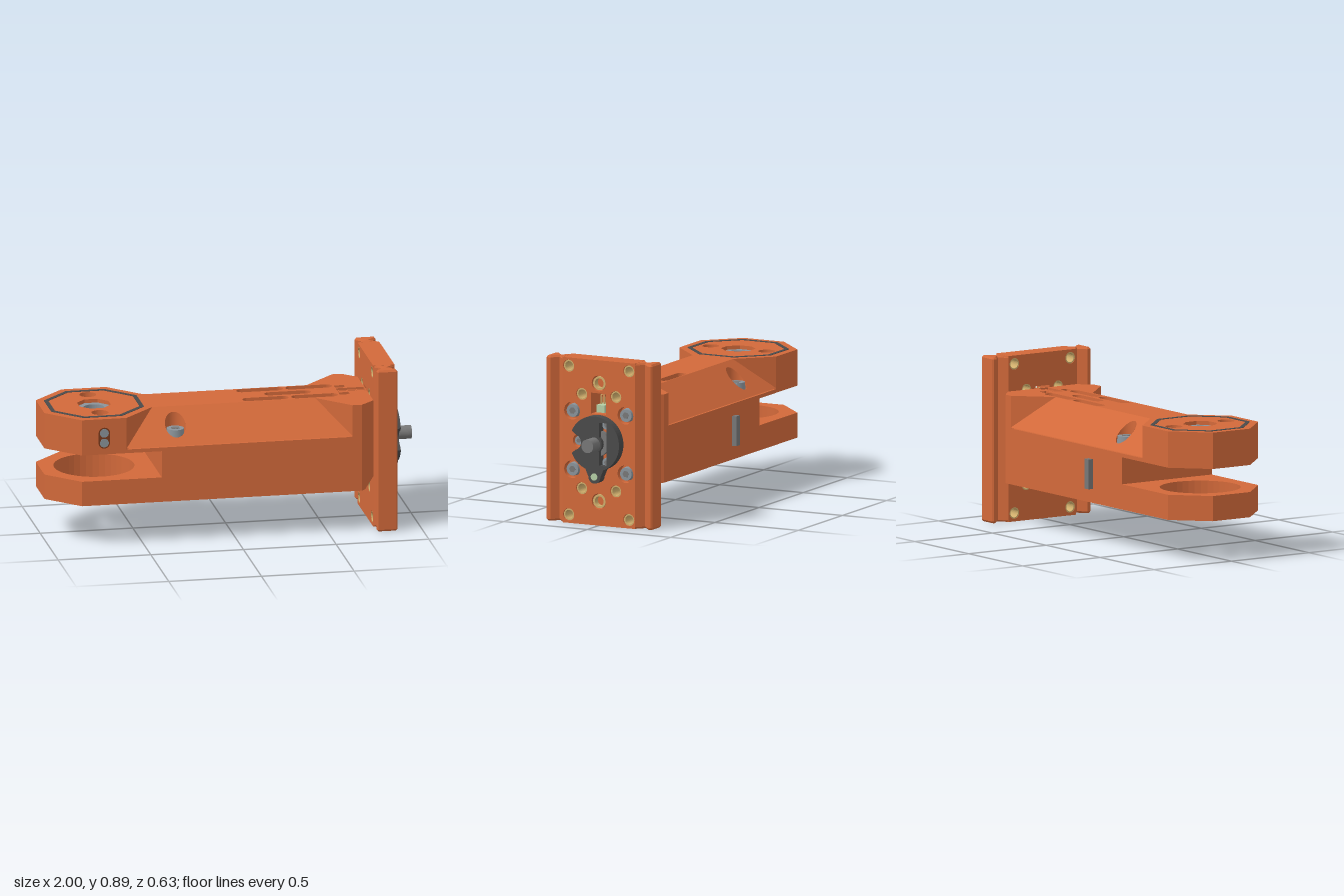
import * as THREE from 'three';

const mat = (color) => new THREE.MeshStandardMaterial({ color, side: THREE.DoubleSide });
const ORANGE = mat(0xd2693a), DARK = mat(0x4a4a4a), STEEL = mat(0x8a939a), BRASS = mat(0xcfae6c),
  GREEN = mat(0xb5cfa5), SHADE = mat(0x7a3a1c), GREY = mat(0x777777);

const poly = (pts) => new THREE.Shape(pts.map(([x, y]) => new THREE.Vector2(x, y)));
const disc = (x, y, r) => new THREE.Shape().absarc(x, y, r, 0, Math.PI * 2, false);
const rect = (x0, x1, y0, y1) => poly([[x0, y0], [x1, y0], [x1, y1], [x0, y1]]);
const octagon = (x, a) => poly([...Array(8)].map((_, i) => {
  const t = (i + 0.5) * Math.PI / 4, r = a / Math.cos(Math.PI / 8);
  return [x + r * Math.cos(t), r * Math.sin(t)];
}));
// Rounded slot along x, or along y when vertical
function pill(cx, cy, len, r, vertical = false) {
  const s = new THREE.Shape(), h = len / 2 - r, q = Math.PI / 2;
  if (vertical) {
    s.absarc(cx, cy + h, r, 0, 2 * q, false);
    s.absarc(cx, cy - h, r, 2 * q, 4 * q, false);
  } else {
    s.absarc(cx + h, cy, r, -q, q, false);
    s.absarc(cx - h, cy, r, q, 3 * q, false);
  }
  return s;
}

export function createModel() {
  const model = new THREE.Group();
  const add = (name, geo, material = ORANGE, parent = model) => {
    const m = new THREE.Mesh(geo, material);
    m.name = name;
    parent.add(m);
    return m;
  };
  const extrude = (shape, holes, depth) => {
    shape.holes = holes;
    return new THREE.ExtrudeGeometry(shape, { depth, bevelEnabled: false, curveSegments: 20 });
  };
  // Plan outline (x, -z) raised from y0 to y1
  const slab = (name, shape, holes, y0, y1, material) =>
    add(name, extrude(shape, holes, y1 - y0).rotateX(-Math.PI / 2).translate(0, y0, 0), material);
  // Outline (-z, y) extended from x0 to x1
  const panel = (name, shape, holes, x0, x1, material) =>
    add(name, extrude(shape, holes, x1 - x0).rotateY(Math.PI / 2).translate(x0, 0, 0), material);
  const box = (name, x0, x1, y0, y1, z0, z1, material) =>
    add(name, new THREE.BoxGeometry(x1 - x0, y1 - y0, z1 - z0)
      .translate((x0 + x1) / 2, (y0 + y1) / 2, (z0 + z1) / 2), material);
  // Socket screw head with its top at the group origin
  const screw = (name, r, h, x, y, z, alongX) => {
    const g = new THREE.Group();
    g.name = name;
    add('screwHead', new THREE.CylinderGeometry(r * 0.93, r, h, 24).translate(0, -h / 2, 0), STEEL, g);
    add('hexSocket', new THREE.CylinderGeometry(r * 0.5, r * 0.5, 0.004, 6), GREY, g);
    g.position.set(x, y, z);
    if (alongX) g.rotation.z = -Math.PI / 2;
    model.add(g);
  };
  const mirror = (half) => poly([...half, ...half.map(([x, y]) => [x, -y]).reverse()]);

  // Lower body and lower fork arm
  const HX = -0.71;
  const leftEnd = [[-1, 0.12], [-0.83, 0.29]];
  const vents = [];
  for (let row = 0; row < 4; row++)
    for (let i = 0; i < 3; i++)
      vents.push(pill(-0.1 + i * 0.27 + (row % 2) * 0.12, -0.165 + row * 0.11, 0.23, 0.026));
  const bigHole = () => disc(HX, 0, 0.215);
  slab('bottomPlate', mirror([...leftEnd, [0.68, 0.29]]),
    [bigHole(), disc(-0.43, 0, 0.018), ...vents], 0.225, 0.28);
  slab('lowerForkArm', mirror([...leftEnd, [-0.4, 0.29]]), [bigHole()], 0.28, 0.36);
  slab('bodyCore', mirror([[-0.4, 0.29], [0.68, 0.29], [0.755, 0.22]]), [], 0.28, 0.525);
  box('forkBridge', -0.59, -0.4, 0.505, 0.525, -0.29, 0.29);
  // Bevelled underside at the plate end
  const wedge = extrude(poly([[0.68, 0.225], [0.7, 0.225], [0.755, 0.28], [0.68, 0.28]]), [], 0.58)
    .translate(0, 0, -0.29);
  const wp = wedge.attributes.position;
  for (let i = 0; i < wp.count; i++) {
    const z = wp.getZ(i);
    wp.setZ(i, Math.sign(z) * (0.29 - Math.max(0, wp.getX(i) - 0.68) * 0.93));
  }
  wedge.computeVertexNormals();
  add('endBevel', wedge);

  // Upper body: octagonal head, narrow spine and flared end
  const upper = () => mirror([...leftEnd, [-0.59, 0.29], [-0.42, 0.12], [0.46, 0.12], [0.63, 0.29],
    [0.68, 0.29], [0.755, 0.22]]);
  const headHoles = () => [octagon(HX, 0.085), disc(HX, 0.17, 0.045), disc(HX, -0.165, 0.045)];
  const topVents = [pill(0.335, 0, 0.25, 0.029)];
  for (const z of [-0.08, 0.085])
    topVents.push(pill(0.2, z, 0.25, 0.029), pill(0.465, z, 0.25, 0.029));
  const cableHoles = [rect(0.6, 0.75, -0.032, 0.032), rect(0.6, 0.655, 0.045, 0.085),
    rect(0.6, 0.655, -0.085, -0.045)];
  slab('upperBody', upper(), headHoles(), 0.505, 0.63);
  slab('topPlate', upper(), [...headHoles(), ...topVents, ...cableHoles], 0.63, 0.7);
  box('motorTop', 0.06, 0.595, 0.62, 0.634, -0.115, 0.115, GREY);
  slab('headInlay', octagon(HX, 0.25), [octagon(HX, 0.228)], 0.69, 0.702, DARK);
  slab('headNut', octagon(HX, 0.084), [disc(HX, 0, 0.055)], 0.56, 0.68, STEEL);

  // Sloped shoulders with recessed screws
  for (const s of [1, -1]) {
    const plan = poly([[-0.59, 0.29], [0.63, 0.29], [0.46, 0.12], [-0.42, 0.12]]);
    plan.holes = [disc(-0.31, 0.2, 0.055)];
    const slope = new THREE.ShapeGeometry(plan, 20);
    const p = slope.attributes.position;
    for (let i = 0; i < p.count; i++) p.setXYZ(i, p.getX(i), 0.82 - p.getY(i), s * p.getY(i));
    if (s > 0) slope.setIndex([...slope.index.array].reverse());
    slope.computeVertexNormals();
    // Keep the outward side as the front
    if (slope.attributes.normal.getY(0) < 0) {
      slope.setIndex([...slope.index.array].reverse());
      slope.computeVertexNormals();
    }
    add('shoulderSlope', slope);
    const bore = new THREE.CylinderGeometry(0.055, 0.055, 1, 28, 1, true).translate(-0.31, 0, 0.2 * s);
    const b = bore.attributes.position;
    for (let i = 0; i < b.count; i++) b.setY(i, b.getY(i) > 0 ? 0.82 - Math.abs(b.getZ(i)) : 0.56);
    add('screwRecess', bore);
    add('recessFloor', new THREE.CylinderGeometry(0.055, 0.055, 0.01, 28).translate(-0.31, 0.557, 0.2 * s));
    screw('shoulderScrew', 0.049, 0.04, -0.31, 0.602, 0.2 * s);
  }

  // Side slot on the head, and key bar on the back
  add('sideSlot', extrude(pill(HX, 0.595, 0.115, 0.031, true), [], 0.012).translate(0, 0, 0.279), SHADE);
  for (const y of [0.568, 0.622])
    add('sidePin', new THREE.CylinderGeometry(0.024, 0.024, 0.014, 20).rotateX(Math.PI / 2)
      .translate(HX, y, 0.286), STEEL);
  box('keyBar', -0.13, -0.092, 0.3, 0.46, -0.317, -0.28, GREY);

  // Mounting plate: bored centre in two layers
  const small = [], large = [], bolts = [];
  for (const s of [1, -1]) {
    for (const [y, z] of [[0.845, 0.18], [0.045, 0.18], [0.7, 0.102], [0.192, 0.102]]) small.push([s * z, y]);
    for (const y of [0.605, 0.29]) bolts.push([s * 0.16, y]);
  }
  for (const y of [0.765, 0.13]) large.push([0, y]);
  const notch = () => rect(-0.045, 0.045, 0.6, 0.712);
  const face = () => rect(-0.217, 0.217, 0, 0.89);
  panel('plateBack', face(), [...small.map(([u, y]) => disc(u, y, 0.031)), notch()], 0.755, 0.83);
  panel('plateFront', face(), [...small.map(([u, y]) => disc(u, y, 0.033)),
    ...large.map(([u, y]) => disc(u, y, 0.042)), ...bolts.map(([u, y]) => disc(u, y, 0.047)),
    disc(-0.122, 0.447, 0.033), notch()], 0.83, 0.87);
  for (const [u, y] of small) panel('brassInsert', disc(u, y, 0.0315), [disc(u, y, 0.024)], 0.757, 0.864, BRASS);
  for (const [u, y] of large) panel('brassBush', disc(u, y, 0.037), [disc(u, y, 0.026)], 0.83, 0.864, BRASS);
  for (const [u, y] of bolts) screw('plateScrew', 0.037, 0.035, 0.866, y, -u, true);
  screw('faceScrew', 0.025, 0.035, 0.866, 0.447, 0.122, true);

  // Plate edge rails with V grooves
  for (const s of [1, -1]) {
    const profile = poly([[0.755, 0.215], [0.8, 0.256], [0.757, 0.292], [0.757, 0.31], [0.764, 0.317],
      [0.86, 0.317], [0.867, 0.31], [0.867, 0.292], [0.828, 0.256], [0.87, 0.215]]
      .map(([x, z]) => [x, s * z]));
    const rail = new THREE.ExtrudeGeometry(profile,
      { depth: 0.87, bevelThickness: 0.01, bevelSize: 0.008, bevelOffset: -0.008, bevelSegments: 1 });
    add('edgeRail', rail.rotateX(-Math.PI / 2).translate(0, 0.01, 0));
  }

  // Cable connector in the plate notch
  box('connector', 0.77, 0.85, 0.605, 0.645, -0.025, 0.025, GREEN);
  for (const z of [-0.017, 0, 0.017]) {
    box('connectorPin', 0.8, 0.812, 0.64, 0.695, z - 0.003, z + 0.003, BRASS);
    box('cableWire', 0.6, 0.81, 0.684, 0.692, z - 0.005, z + 0.005, ORANGE);
  }

  // Motor cover: disc with a screw clearance, a lower lobe and a window
  const cover = new THREE.Shape();
  const CY = 0.448, R = 0.148;
  cover.absarc(0, CY, R, -1.2, Math.PI - 0.42, false);
  cover.absarc(-0.122, CY, 0.042, 1.35, -1.35, true);
  cover.absarc(0, CY, R, Math.PI + 0.42, Math.PI + 1.2, false);
  cover.absarc(0, 0.27, 0.036, Math.PI, Math.PI * 2, false);
  panel('motorCover', cover, [rect(0.028, 0.074, 0.332, 0.564)], 0.87, 0.92, DARK);
  panel('motorFace', disc(0, CY, 0.072), [], 0.868, 0.895, GREY);
  panel('coverPin', disc(0, 0.27, 0.019), [], 0.87, 0.925, GREEN);
  for (const y of [0.548, 0.346]) screw('windowScrew', 0.026, 0.02, 0.888, y, -0.055, true);
  panel('coverHub', disc(0, 0.447, 0.046), [], 0.9, 0.923, DARK);
  panel('shaft', disc(0, 0.447, 0.036), [], 0.86, 1, GREY);
  return model;
}
